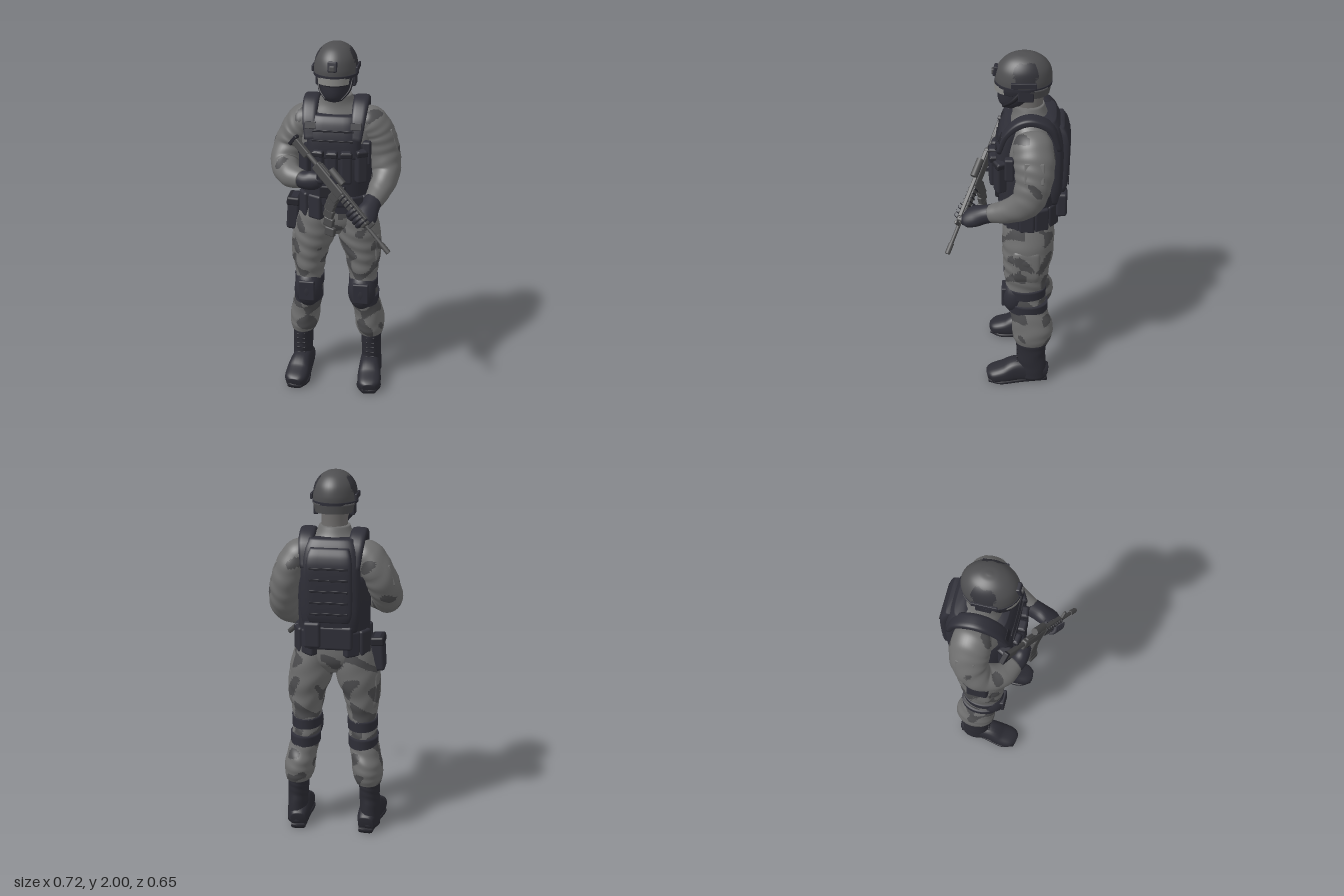
import * as THREE from 'three';
import { RoundedBoxGeometry } from 'three/addons/geometries/RoundedBoxGeometry.js';

const V = (x, y, z) => new THREE.Vector3(x, y, z);
const material = (name, color) => Object.assign(new THREE.MeshStandardMaterial({ color }), { name });

export function createModel() {
  const model = new THREE.Group();
  model.name = 'soldier';
  const cloth = material('grey cloth', 0x6e6e6e), blotch = material('dark camouflage', 0x4c4c4e);
  const gear = material('vest black', 0x2e2e37), seam = material('seam black', 0x25252c);
  const boot = material('boot black', 0x2b2b33), shell = material('helmet grey', 0x4e4e50);
  const lens = material('goggle lens', 0x8c8c8a), metal = material('gun metal', 0x4a4a4b);
  const skin = material('skin grey', 0x706e6d), patch = material('helmet patch', 0x34343a);
  lens.side = THREE.DoubleSide;

  const add = (name, geometry, mat, parent = model) => {
    const mesh = new THREE.Mesh(geometry, mat);
    mesh.name = name;
    parent.add(mesh);
    return mesh;
  };
  const box = (name, mat, size, pos, rot = [0, 0, 0], parent = model) => {
    const r = Math.min(...size) * 0.25;
    const mesh = add(name, new RoundedBoxGeometry(...size, 2, r), mat, parent);
    mesh.position.set(...pos);
    mesh.rotation.set(...rot);
    return mesh;
  };
  // Camouflage patches: a smooth 3D pattern cut at a threshold
  const camo = (cut, f) => c =>
    Math.sin(c.x * 31 * f + 2 * Math.sin(c.y * 17 * f)) + Math.sin(c.y * 37 * f + 2 * Math.sin(c.z * 23 * f))
      + Math.sin(c.z * 33 * f + c.x * 19) > cut ? 1 : 0;

  // Skin over rings [x, y, z, radiusU, radiusV] along a smooth path
  function loft(name, mats, pts, { flat = true, square = 1, fold = 0, freq = 60, ref = V(0, 0, 1), pick = () => 0, n = 28, per = 6 } = {}) {
    const path = new THREE.CatmullRomCurve3(pts.map(p => V(p[0], p[1], p[2])), false, 'catmullrom');
    const size = new THREE.CatmullRomCurve3(pts.map(p => V(p[3], p[4] ?? p[3], 0)), false, 'catmullrom');
    const rows = (pts.length - 1) * per, verts = [], tris = [[], []];
    const bend = (c, p) => Math.sign(c) * Math.abs(c) ** p;
    const straight = V(0, Math.sign(pts.at(-1)[1] - pts[0][1]), 0);
    for (let i = 0; i <= rows; i++) {
      const s = i / rows, c = path.getPoint(s), r = size.getPoint(s);
      const t = flat ? straight : path.getTangent(s);
      const u = t.clone().cross(ref).normalize(), v = t.clone().cross(u);
      for (let j = 0; j < n; j++) {
        const a = j / n * Math.PI * 2;
        const k = 1 + fold * Math.sin(s * freq + 3 * Math.sin(a + s * 7) + Math.cos(2 * a)) * Math.sin(s * Math.PI);
        verts.push(c.clone().addScaledVector(u, r.x * k * bend(Math.cos(a), square)).addScaledVector(v, r.y * k * bend(Math.sin(a), square)));
      }
    }
    verts.push(path.getPoint(0), path.getPoint(1));
    const face = (a, b, c) => {
      const mid = verts[a].clone().add(verts[b]).add(verts[c]).divideScalar(3);
      tris[pick(mid)].push(a, b, c);
    };
    for (let j = 0; j < n; j++) {
      const k = (j + 1) % n, last = rows * n;
      for (let i = 0; i < rows; i++) {
        const a = i * n + j, b = i * n + k;
        face(a, b, a + n);
        face(b, b + n, a + n);
      }
      face(verts.length - 2, k, j);
      face(verts.length - 1, last + j, last + k);
    }
    const g = new THREE.BufferGeometry().setFromPoints(verts);
    g.setIndex([...tris[0], ...tris[1]]);
    g.addGroup(0, tris[0].length, 0);
    g.addGroup(tris[0].length, tris[1].length, 1);
    g.computeVertexNormals();
    return add(name, g, Array.isArray(mats) ? mats : [mats, mats]);
  }

  // Legs, knee pads and boots
  for (const s of [-1, 1]) {
    const side = s > 0 ? 'left' : 'right';
    loft(side + 'TrouserLeg', [cloth, blotch], [
      [s * .09, 1.12, -.11, .1, .13], [s * .115, 1, -.11, .115, .14], [s * .128, .9, -.11, .12, .14],
      [s * .146, .8, -.105, .1, .128], [s * .153, .7, -.1, .084, .115], [s * .155, .6, -.1, .076, .108],
      [s * .166, .5, -.115, .08, .105], [s * .186, .4, -.14, .084, .115], [s * .192, .33, -.14, .083, .112],
      [s * .197, .285, -.14, .07, .096]], { fold: .025, pick: camo(.85, 1.25), n: 56, per: 14 });
    loft(side + 'CargoPocket', [cloth, blotch], [[s * .205, .93, -.105, .032, .065], [s * .21, .9, -.105, .037, .075], [s * .212, .78, -.105, .037, .075],
      [s * .205, .73, -.105, .032, .065]], { square: .5, pick: camo(1, 1.25), n: 40 });
    const pad = add(side + 'KneePad', new THREE.SphereGeometry(1, 24, 16), gear);
    pad.scale.set(.079, .115, .075);
    pad.position.set(s * .153, .585, -.04);
    box(side + 'KneeCap', gear, [.09, .12, .03], [s * .153, .59, .018]);
    for (const [y, x, z] of [[.625, .155, -.1], [.525, .162, -.112]])
      loft(side + 'KneeStrap', gear, [[s * x, y - .03, z, .082, .112], [s * x, y + .03, z, .083, .113]]);
    loft(side + 'BootShaft', boot, [[s * .205, .03, -.145, .058, .083], [s * .205, .12, -.14, .056, .083],
      [s * .202, .2, -.135, .056, .082], [s * .2, .27, -.137, .059, .087], [s * .2, .295, -.137, .058, .086]], { fold: .02, freq: 30 });
    loft(side + 'BootFoot', boot, [[s * .19, .05, -.225, .042, .045], [s * .195, .065, -.17, .056, .062],
      [s * .202, .075, -.06, .06, .072], [s * .209, .055, .02, .068, .053], [s * .214, .043, .085, .062, .04],
      [s * .218, .035, .115, .035, .028]], { flat: false, ref: V(0, 1, 0), square: .75 });
    loft(side + 'BootSole', seam, [[s * .19, .014, -.228, .04, .014], [s * .2, .014, -.08, .054, .014],
      [s * .209, .014, .04, .07, .014], [s * .217, .014, .112, .04, .014]], { flat: false, ref: V(0, 1, 0), square: .6 });
    for (let i = 0; i < 5; i++)
      box(side + 'BootLace', seam, [.05, .009, .008], [s * .203, .145 + i * .03, -.057]);
  }
  loft('hips', [cloth, blotch], [[0, .93, -.11, .07, .09], [0, 1, -.11, .18, .137], [0, 1.1, -.11, .19, .145], [0, 1.2, -.11, .18, .14]],
    { pick: camo(1.2, 1.25), n: 44, per: 12 });

  // Shirt and collar
  loft('shirt', cloth, [[0, 1.1, -.11, .18, .14], [0, 1.3, -.11, .18, .145], [0, 1.45, -.11, .2, .15], [0, 1.55, -.12, .205, .13],
    [0, 1.62, -.12, .165, .11], [0, 1.67, -.11, .105, .09], [0, 1.72, -.1, .08, .083]], { n: 36 });
  loft('neck', skin, [[0, 1.65, -.105, .07, .075], [0, 1.72, -.1, .068, .077], [0, 1.82, -.1, .068, .085]]);

  // Vest: lower wrap, chest and back panels, straps
  loft('vestWrap', gear, [[0, 1.12, -.11, .19, .16], [0, 1.2, -.11, .19, .168], [0, 1.35, -.11, .192, .175],
    [0, 1.45, -.115, .186, .168], [0, 1.48, -.115, .165, .15]], { square: .85, n: 40 });
  loft('chestPanel', gear, [[0, 1.4, .01, .15, .06], [0, 1.5, .005, .142, .06], [0, 1.58, -.01, .132, .055], [0, 1.625, -.025, .12, .045]], { square: .6 });
  loft('backPanel', gear, [[0, 1.18, -.235, .14, .05], [0, 1.3, -.245, .158, .05], [0, 1.5, -.245, .155, .052],
    [0, 1.61, -.232, .14, .045], [0, 1.67, -.21, .115, .035]], { square: .65 });
  loft('backPlate', gear, [[0, 1.24, -.285, .105, .02], [0, 1.3, -.294, .12, .022], [0, 1.5, -.3, .12, .024],
    [0, 1.58, -.292, .115, .022], [0, 1.63, -.27, .1, .018]], { square: .45 });
  for (let i = 0; i < 5; i++) box('backSeam', seam, [.2, .012, .008], [0, 1.29 + i * .06, -.317 - .001 * i]);
  for (let i = 0; i < 2; i++) box('chestSeam', seam, [.22, .01, .008], [0, 1.5 + i * .05, .064 - i * .011]);
  box('lowerBackPouch', gear, [.24, .13, .06], [0, 1.15, -.26]);
  for (const s of [-1, 1]) {
    loft('shoulderStrap', gear, [[s * .118, 1.5, .045, .014, .035], [s * .13, 1.6, .01, .017, .038], [s * .134, 1.67, -.06, .022, .042],
      [s * .134, 1.685, -.14, .022, .042], [s * .13, 1.635, -.225, .02, .04], [s * .12, 1.52, -.265, .015, .035]], { flat: false, ref: V(1, 0, 0), square: .6 });
    box('strapBuckle', seam, [.06, .04, .012], [s * .122, 1.575, .035], [-.35, 0, 0]);
  }

  // Pouches on the chest and around the belt
  for (const [x, z, turn] of [[-.15, .03, -.5], [-.075, .065, -.15], [0, .08, 0], [.075, .072, .15], [.15, .04, .5]]) {
    box('magazinePouch', gear, [.062, .18, .055], [x, 1.36, z], [0, turn, 0]);
    box('pouchFlap', seam, [.064, .03, .058], [x, 1.43, z], [0, turn, 0]);
  }
  box('radio', gear, [.045, .13, .05], [.175, 1.42, -.01]);
  loft('belt', gear, [[0, 1.08, -.11, .195, .155], [0, 1.13, -.11, .197, .158]], { square: .85 });
  for (const deg of [-58, -30, 38, 62, 88, 115, 142, 215, 240]) {
    const a = deg * Math.PI / 180;
    box('beltPouch', gear, [.085, .14, .055], [.188 * Math.sin(a), 1.11, -.11 + .15 * Math.cos(a)], [0, a, 0]);
  }
  box('rearPouch', gear, [.09, .14, .06], [.09, 1.17, -.285]);
  box('frontBeltFlap', seam, [.14, .07, .03], [0, 1.21, .055]);
  box('holster', gear, [.07, .19, .12], [-.238, 1.03, -.1], [0, 0, -.06]);
  box('holsterFlap', seam, [.074, .05, .124], [-.236, 1.1, -.1], [0, 0, -.06]);

  // Arms and gloves, with sloping shoulders
  const sleeve = { flat: false, fold: .02, freq: 56, pick: camo(2, 1), n: 40, per: 12 };
  loft('leftSleeve', [cloth, blotch], [[.13, 1.585, -.125, .06, .085], [.18, 1.56, -.13, .085, .102], [.228, 1.485, -.14, .087, .105],
    [.26, 1.38, -.135, .085, .095], [.272, 1.28, -.1, .077, .085], [.247, 1.21, -.01, .064, .068], [.218, 1.17, .09, .048, .05]], sleeve);
  loft('rightSleeve', [cloth, blotch], [[-.13, 1.585, -.125, .06, .085], [-.18, 1.56, -.13, .085, .102], [-.23, 1.485, -.135, .087, .105],
    [-.266, 1.4, -.12, .086, .092], [-.28, 1.32, -.06, .078, .078], [-.235, 1.29, .035, .067, .066], [-.16, 1.285, .085, .05, .05]], sleeve);
  for (const s of [-1, 1]) box('sleevePocket', cloth, [.02, .11, .1], [s * .306, 1.475, -.14], [0, 0, s * .3]);
  loft('leftGlove', gear, [[.222, 1.178, .07, .05], [.212, 1.16, .12, .05], [.2, 1.14, .17, .06, .045], [.192, 1.12, .215, .055, .038],
    [.19, 1.11, .24, .035, .025]], { flat: false });
  loft('rightGlove', gear, [[-.18, 1.286, .07, .049], [-.14, 1.285, .095, .048], [-.1, 1.29, .108, .052, .042], [-.06, 1.3, .115, .04, .035]], { flat: false });

  // Head, mask, goggles and helmet
  loft('head', [skin, gear], [[0, 1.705, -.015, .042, .05], [0, 1.735, -.03, .068, .083], [0, 1.78, -.05, .083, .108],
    [0, 1.84, -.06, .09, .115], [0, 1.9, -.065, .087, .11]], { pick: c => (c.z > -.09 && c.y < 1.81 ? 1 : 0), per: 8 });
  loft('goggleFrame', gear, [[0, 1.792, -.045, .084, .106], [0, 1.82, -.045, .09, .114], [0, 1.86, -.045, .09, .112]]);
  add('goggleLens', new THREE.CylinderGeometry(.094, .091, .038, 24, 1, true, -1.1, 2.2), lens)
    .position.set(0, 1.82, -.02);
  loft('helmet', [shell, patch], [[0, 1.835, -.075, .117, .143], [0, 1.88, -.077, .116, .145], [0, 1.93, -.079, .105, .132],
    [0, 1.97, -.08, .078, .098], [0, 1.993, -.08, .042, .054], [0, 2, -.08, .008, .01]],
  { pick: c => (((c.z + .09) / .065) ** 2 + ((c.y - 1.925) / .05) ** 2 < 1 + .2 * Math.sin(c.z * 90) ? 1 : 0), n: 44, per: 9 });
  loft('helmetRim', gear, [[0, 1.834, -.075, .119, .146], [0, 1.85, -.075, .12, .147]], { n: 32 });
  loft('helmetBack', shell, [[0, 1.79, -.125, .097, .085], [0, 1.84, -.115, .112, .103]]);
  box('helmetMount', gear, [.05, .055, .03], [0, 1.9, .062], [-.2, 0, 0]);
  box('mountClip', shell, [.028, .03, .024], [0, 1.895, .075]);
  for (const s of [-1, 1]) {
    box('helmetRail', gear, [.012, .03, .13], [s * .116, 1.87, -.08]);
    box('earCover', gear, [.025, .075, .08], [s * .095, 1.81, -.09]);
    loft('chinStrap', seam, [[s * .09, 1.82, -.07, .008, .012], [s * .08, 1.76, -.02, .007, .011], [s * .04, 1.715, .025, .006, .01]], { flat: false });
  }

  // Rifle, built along its own x axis from butt to muzzle
  const rifle = new THREE.Group();
  rifle.name = 'rifle';
  model.add(rifle);
  const along = V(.545, -.52, .27).normalize(), across = along.clone().cross(V(0, 1, 0)).normalize();
  rifle.setRotationFromMatrix(new THREE.Matrix4().makeBasis(along, across.clone().cross(along), across));
  rifle.position.set(-.212, 1.505, .042);
  const part = (name, mat, size, pos, tilt = 0) => box(name, mat, size, pos, [0, 0, tilt], rifle);
  const rod = (name, mat, r, len, x, y) => {
    const m = add(name, new THREE.CylinderGeometry(r, r, len, 14), mat, rifle);
    m.rotation.z = Math.PI / 2;
    m.position.set(x, y, 0);
  };
  part('buttPad', seam, [.02, .07, .03], [.01, -.01, 0]);
  part('stock', metal, [.11, .045, .026], [.07, -.005, 0]);
  rod('bufferTube', metal, .013, .14, .16, .005);
  part('receiver', metal, [.22, .056, .034], [.3, 0, 0]);
  part('magazineWell', metal, [.06, .06, .032], [.385, -.035, 0]);
  part('pistolGrip', seam, [.035, .09, .03], [.25, -.065, 0], -.35);
  for (let i = 0; i < 5; i++) part('magazine', metal, [.06, .05, .028], [.392 + i * .006 + i * i * .005, -.07 - i * .036, 0], .15 + i * .12);
  part('handguard', metal, [.21, .044, .038], [.51, .002, 0]);
  part('topRail', metal, [.38, .012, .02], [.4, .03, 0]);
  for (let i = 0; i < 8; i++) part('railRib', seam, [.008, .048, .041], [.425 + i * .024, .002, 0]);
  rod('optic', metal, .019, .1, .32, .058);
  part('opticBase', gear, [.06, .025, .024], [.32, .04, 0]);
  rod('barrel', metal, .01, .16, .69, .002);
  rod('muzzle', metal, .014, .06, .768, .002);
  part('frontSight', metal, [.02, .055, .014], [.63, .026, 0]);

  // Gloved fingers around the handguard and the grip
  for (let i = 0; i < 4; i++) {
    const f = add('leftFinger', new THREE.TorusGeometry(.033, .013, 8, 18, 4.4), gear, rifle);
    f.rotation.set(2.4, Math.PI / 2, 0);
    f.position.set(.51 + i * .025, -.004, 0);
    const g = add('rightFinger', new THREE.TorusGeometry(.026, .011, 8, 18), gear, rifle);
    g.rotation.x = Math.PI / 2;
    g.position.set(.254 - i * .007, -.043 - i * .02, 0);
  }
  return model;
}
